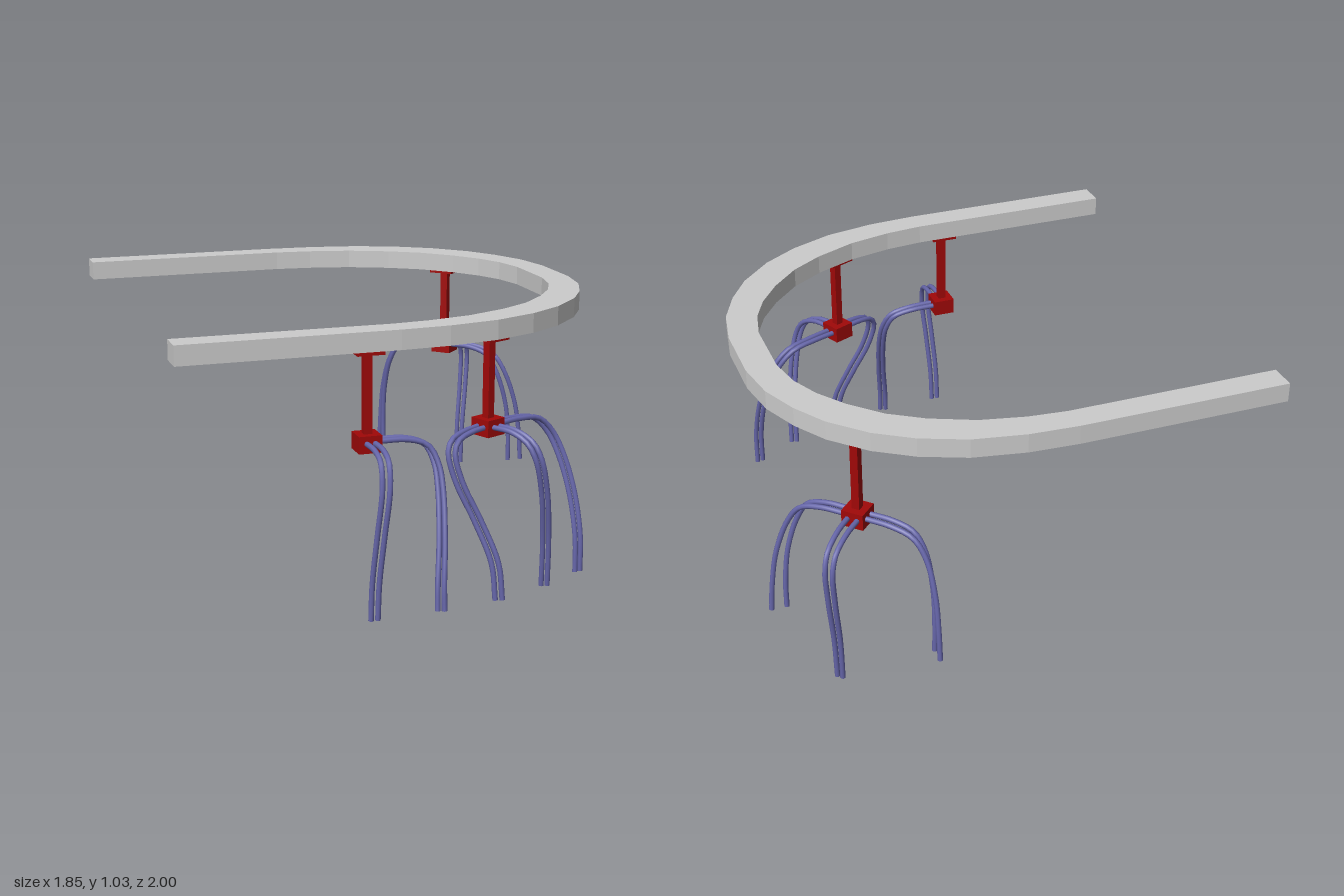
import * as THREE from 'three';

const grey = new THREE.MeshStandardMaterial({ color: 0xcccccc, flatShading: true });
const red = new THREE.MeshStandardMaterial({ color: 0xa00808 });
const blue = new THREE.MeshStandardMaterial({ color: 0x6666aa });

const V = (p) => new THREE.Vector3(...p);

function add(parent, name, geometry, material) {
  const mesh = new THREE.Mesh(geometry, material);
  mesh.name = name;
  parent.add(mesh);
  return mesh;
}

// U-shaped beam: half outlines [x, distance from the beam's axis], mirrored about z = -0.1
function createRail() {
  const outer = [[-0.925, 0.9], [-0.1, 0.9], [0.09, 0.888], [0.29, 0.85], [0.46, 0.78],
    [0.6, 0.69], [0.725, 0.565], [0.805, 0.44], [0.868, 0.295], [0.897, 0.13]];
  const inner = [[-0.925, 0.795], [-0.1, 0.795], [0.05, 0.78], [0.22, 0.742], [0.385, 0.67],
    [0.51, 0.59], [0.62, 0.48], [0.7, 0.37], [0.752, 0.26], [0.78, 0.13]];
  const full = (half) => [
    ...half.map(([x, d]) => new THREE.Vector2(x, d - 0.1)),
    ...half.slice().reverse().map(([x, d]) => new THREE.Vector2(x, -d - 0.1)),
  ];
  const shape = new THREE.Shape([...full(outer), ...full(inner).reverse()]);
  const geometry = new THREE.ExtrudeGeometry(shape, { depth: 0.075, bevelEnabled: false });
  return geometry.rotateX(Math.PI / 2).translate(0, 1.03, 0);
}

// Hanger: mounting plate, square post and junction box
function createHanger(x, z, turn) {
  const hanger = new THREE.Group();
  hanger.name = 'hanger';
  add(hanger, 'mountingPlate', new THREE.BoxGeometry(0.104, 0.012, 0.104), red).position.y = 0.949;
  add(hanger, 'post', new THREE.BoxGeometry(0.031, 0.31, 0.031), red).position.y = 0.795;
  add(hanger, 'junctionBox', new THREE.BoxGeometry(0.088, 0.065, 0.088), red).position.y = 0.612;
  hanger.position.set(x, 0, z);
  hanger.rotation.y = turn;
  return hanger;
}

// Pair of hoses either side of a path; the spacing blends from start to end
function createHosePair(path, startOffset, endOffset) {
  const pair = new THREE.Group();
  pair.name = 'hosePair';
  const a = V(startOffset), b = V(endOffset), radius = 0.0105;
  for (const side of [-1, 1]) {
    const points = path.map((p, i) =>
      V(p).addScaledVector(a.clone().lerp(b, i / (path.length - 1)), side));
    const curve = new THREE.CatmullRomCurve3(points);
    add(pair, 'hose', new THREE.TubeGeometry(curve, 28, radius, 8), blue);
    const cap = add(pair, 'hoseEnd', new THREE.CircleGeometry(radius, 8), blue);
    cap.position.copy(curve.getPoint(1));
    cap.lookAt(cap.position.clone().add(curve.getTangent(1)));
  }
  return pair;
}

export function createModel() {
  const model = new THREE.Group();
  model.name = 'hoseRail';
  add(model, 'rail', createRail(), grey);

  // Front straight station
  model.add(createHanger(-0.215, 0.75, 0));
  model.add(createHosePair([[-0.213, 0.615, 0.77], [-0.213, 0.615, 0.89], [-0.215, 0.59, 0.955],
    [-0.22, 0.5, 0.985], [-0.235, 0.32, 0.972], [-0.247, 0.14, 0.953], [-0.25, 0, 0.947]],
  [0.016, 0, 0], [0.013, 0, 0]));
  model.add(createHosePair([[-0.18, 0.615, 0.75], [-0.06, 0.61, 0.75], [0.01, 0.585, 0.762],
    [0.04, 0.52, 0.788], [0.045, 0.43, 0.822], [0.03, 0.25, 0.885], [0.013, 0.1, 0.925], [0.01, 0, 0.937]],
  [0, 0, 0.016], [0.012, 0, 0.004]));

  // Front curve station
  model.add(createHanger(0.285, 0.68, 0.42));
  model.add(createHosePair([[0.25, 0.615, 0.7], [0.18, 0.61, 0.735], [0.12, 0.59, 0.768],
    [0.102, 0.55, 0.782], [0.125, 0.44, 0.805], [0.185, 0.3, 0.84], [0.24, 0.14, 0.885], [0.252, 0, 0.9]],
  [0.008, 0, 0.014], [0.013, 0, 0.003]));
  model.add(createHosePair([[0.3, 0.615, 0.71], [0.345, 0.612, 0.79], [0.385, 0.58, 0.85],
    [0.41, 0.52, 0.875], [0.443, 0.38, 0.862], [0.467, 0.19, 0.83], [0.475, 0, 0.81]],
  [0.014, 0, -0.008], [0.011, 0, 0.003]));
  model.add(createHosePair([[0.32, 0.615, 0.665], [0.42, 0.615, 0.625], [0.52, 0.6, 0.595],
    [0.58, 0.54, 0.595], [0.62, 0.44, 0.625], [0.648, 0.3, 0.667], [0.66, 0.14, 0.703], [0.66, 0, 0.71]],
  [0.008, 0, 0.014], [0.012, 0, -0.003]));

  // Rear curve station: side hoses mirror across the hanger's diagonal
  model.add(createHanger(0.62, -0.67, Math.PI / 4));
  model.add(createHosePair([[0.64, 0.615, -0.69], [0.71, 0.612, -0.765], [0.765, 0.58, -0.823],
    [0.785, 0.52, -0.845], [0.779, 0.38, -0.839], [0.759, 0.18, -0.819], [0.752, 0, -0.812]],
  [0.014, 0, 0.014], [0.008, 0, 0.008]));
  const sidePath = [[0.59, 0.615, -0.7], [0.52, 0.612, -0.77], [0.46, 0.585, -0.828],
    [0.427, 0.51, -0.867], [0.412, 0.37, -0.91], [0.41, 0.22, -0.93], [0.41, 0.1, -0.935]];
  model.add(createHosePair(sidePath, [0.012, 0, -0.012], [0, 0, -0.03]));
  model.add(createHosePair(sidePath.map(([x, y, z]) => [-0.05 - z, y, -0.05 - x]),
    [0.012, 0, -0.012], [0.03, 0, 0]));
  return model;
}
